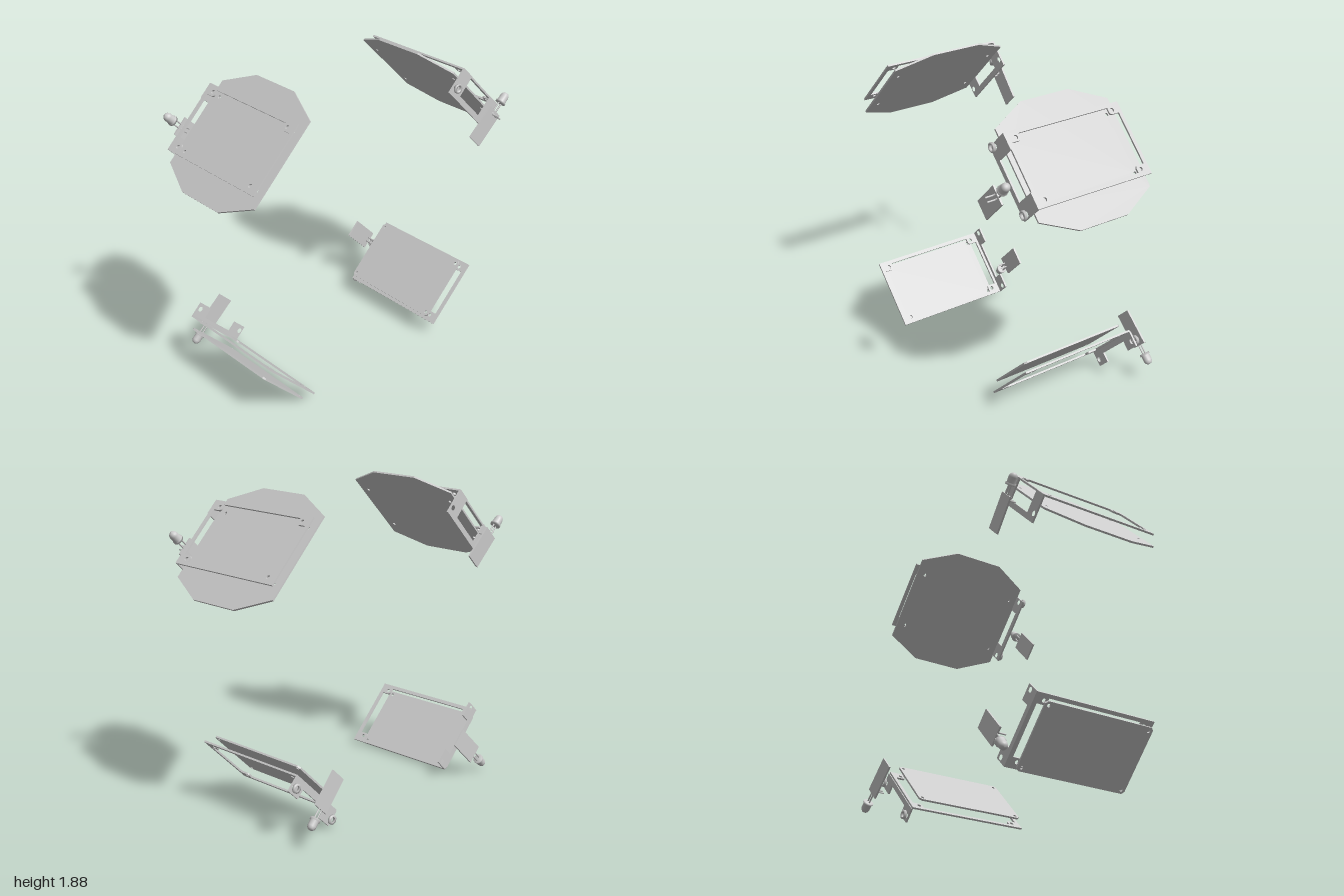
import * as THREE from 'three';

const grey = new THREE.MeshStandardMaterial({ color: 0xcccccc });
const T = 0.011; // sheet thickness

function mesh(name, geo, parent, x = 0, y = 0, z = 0) {
  const m = new THREE.Mesh(geo, grey);
  m.name = name;
  m.position.set(x, y, z);
  parent.add(m);
  return m;
}

function polygon(points, Type = THREE.Shape) {
  return new Type(points.map(([x, y]) => new THREE.Vector2(x, y)));
}

function drill(shape, x, y, r) {
  shape.holes.push(new THREE.Path().absarc(x, y, r, 0, Math.PI * 2, true));
}

function drillCorners(shape, x, y, r) {
  for (const sx of [-1, 1]) for (const sy of [-1, 1]) drill(shape, sx * x, sy * y, r);
}

// Thin sheet cut from a shape, centred on its own plane
function sheet(shape) {
  const g = new THREE.ExtrudeGeometry(shape, { depth: T, bevelEnabled: false, curveSegments: 10 });
  return g.translate(0, 0, -T / 2);
}

// Sheet laid so that shape x, y become local x, z
const flatSheet = (shape) => sheet(shape).rotateX(Math.PI / 2);

const rect = (w, h) => [[-w, -h], [w, -h], [w, h], [-w, h]];

// Open rectangular frame with a drilled tab in each corner of the window
function frameShape() {
  const s = polygon(rect(0.2225, 0.382));
  const w = new THREE.Path();
  const a = 0.2, b = 0.36, p = 0.158, q = 0.3, r = 0.018;
  w.moveTo(p, -b);
  w.lineTo(p, -q - r); w.quadraticCurveTo(p, -q, p + r, -q); w.lineTo(a, -q);
  w.lineTo(a, q);
  w.lineTo(p + r, q); w.quadraticCurveTo(p, q, p, q + r); w.lineTo(p, b);
  w.lineTo(-p, b);
  w.lineTo(-p, q + r); w.quadraticCurveTo(-p, q, -p - r, q); w.lineTo(-a, q);
  w.lineTo(-a, -q);
  w.lineTo(-p - r, -q); w.quadraticCurveTo(-p, -q, -p, -q - r); w.lineTo(-p, -b);
  w.closePath();
  s.holes.push(w);
  drillCorners(s, 0.182, 0.325, 0.012);
  return s;
}

// Panel: a wide octagon, or a plain plate with clipped corners
function panelShape(octagon) {
  const [w, h, cw, ch] = octagon ? [0.385, 0.38, 0.275, 0.16] : [0.205, 0.35, 0.19, 0.335];
  const s = polygon([[cw, -h], [w, -ch], [w, ch], [cw, h], [-cw, h], [-w, ch], [-w, -ch], [-cw, -h]]);
  drillCorners(s, 0.182, 0.325, 0.01);
  return s;
}

// End bracket: two drilled feet joined by a web, either at the tips or at the frame
function bracketShape(depth, holeY, webAtTip) {
  const w = 0.2225, f = 0.125, t = Math.sign(depth) * 0.033;
  const s = webAtTip
    ? polygon([[-w, 0], [-f, 0], [-f, depth - t], [f, depth - t], [f, 0], [w, 0], [w, depth], [-w, depth]])
    : polygon([[-w, 0], [w, 0], [w, depth], [f, depth], [f, t], [-f, t], [-f, depth], [-w, depth]]);
  for (const x of [-0.2, 0.2]) drill(s, x, holeY, 0.016);
  return s;
}

// Small tag plate with a domed lamp on two bent wire legs
function lampTag(side) {
  const g = new THREE.Group();
  g.name = 'lampTag';
  mesh('tagPlate', new THREE.BoxGeometry(0.115, 0.22, T), g, 0, -0.2, 0);
  const profile = [[0, -0.035], [0.031, -0.035], [0.031, -0.022], [0.026, -0.022], [0.026, 0.012],
    [0.022, 0.026], [0.013, 0.035], [0, 0.038]].map(([x, y]) => new THREE.Vector2(x, y));
  mesh('lamp', new THREE.LatheGeometry(profile, 16), g);
  for (const x of [-0.013, 0.013]) {
    const path = new THREE.CurvePath();
    const p = [[x, -0.03, 0], [x, -0.105, 0], [x, -0.118, 0.013], [x, -0.118, 0.062]]
      .map((v) => new THREE.Vector3(...v));
    for (let i = 0; i < 3; i++) path.add(new THREE.LineCurve3(p[i], p[i + 1]));
    mesh('lampLeg', new THREE.TubeGeometry(path, 16, 0.005, 6), g);
  }
  g.rotation.x = side * 0.05;
  return g;
}

// Flat washer with its axis along z
function washerGeometry() {
  const p = [[0.017, -0.007], [0.028, -0.007], [0.028, 0.007], [0.017, 0.007], [0.017, -0.007]];
  return new THREE.LatheGeometry(p.map(([x, y]) => new THREE.Vector2(x, y)), 20).rotateX(Math.PI / 2);
}

// One tilted unit: local x runs along the panel, local y points outward
function unit(o) {
  const g = new THREE.Group();
  g.name = o.name;
  const a = THREE.MathUtils.degToRad(o.angle);
  g.rotation.z = a;
  g.position.set(
    o.along * Math.cos(a) - o.out * Math.sin(a),
    o.along * Math.sin(a) + o.out * Math.cos(a),
    o.z
  );
  mesh('frame', flatSheet(frameShape()), g, 0, -T / 2, 0);
  mesh('panel', flatSheet(panelShape(o.octagon)), g, 0, o.panel, 0);
  mesh('bracket', sheet(bracketShape(o.foot, o.hole, o.octagon)), g, 0, 0, o.side * 0.382);
  const tag = lampTag(o.side);
  tag.position.set(o.tagX, o.tagY, o.side * 0.52);
  g.add(tag);
  if (o.washers) {
    for (const x of [-0.2, 0.2]) mesh('washer', washerGeometry(), g, x, o.hole, o.side * 0.407);
  }
  return g;
}

export function createModel() {
  const model = new THREE.Group();
  model.name = 'panelUnits';
  const upper = { octagon: true, out: 1.711, panel: -0.066, foot: -0.171, hole: -0.122, tagY: 0 };
  const units = [
    { ...upper, name: 'upperRightUnit', angle: 45, along: 0.62, z: -0.037, side: -1, tagX: -0.063 },
    { ...upper, name: 'upperLeftUnit', angle: -45, along: -0.62, z: -0.006, side: 1, tagX: 0.063, washers: true },
    { name: 'lowerRightUnit', angle: 135, along: 0.62, out: 0.354, z: -0.037, side: -1, panel: 0.056,
      foot: -0.1, hole: -0.065, tagX: -0.061, tagY: 0.112 },
    { name: 'lowerLeftUnit', angle: -135, along: -0.62, out: 0.283, z: -0.037, side: -1, panel: -0.06,
      foot: 0.094, hole: 0.057, tagX: -0.067, tagY: 0.178, washers: true },
  ];
  for (const o of units) model.add(unit(o));
  return model;
}
